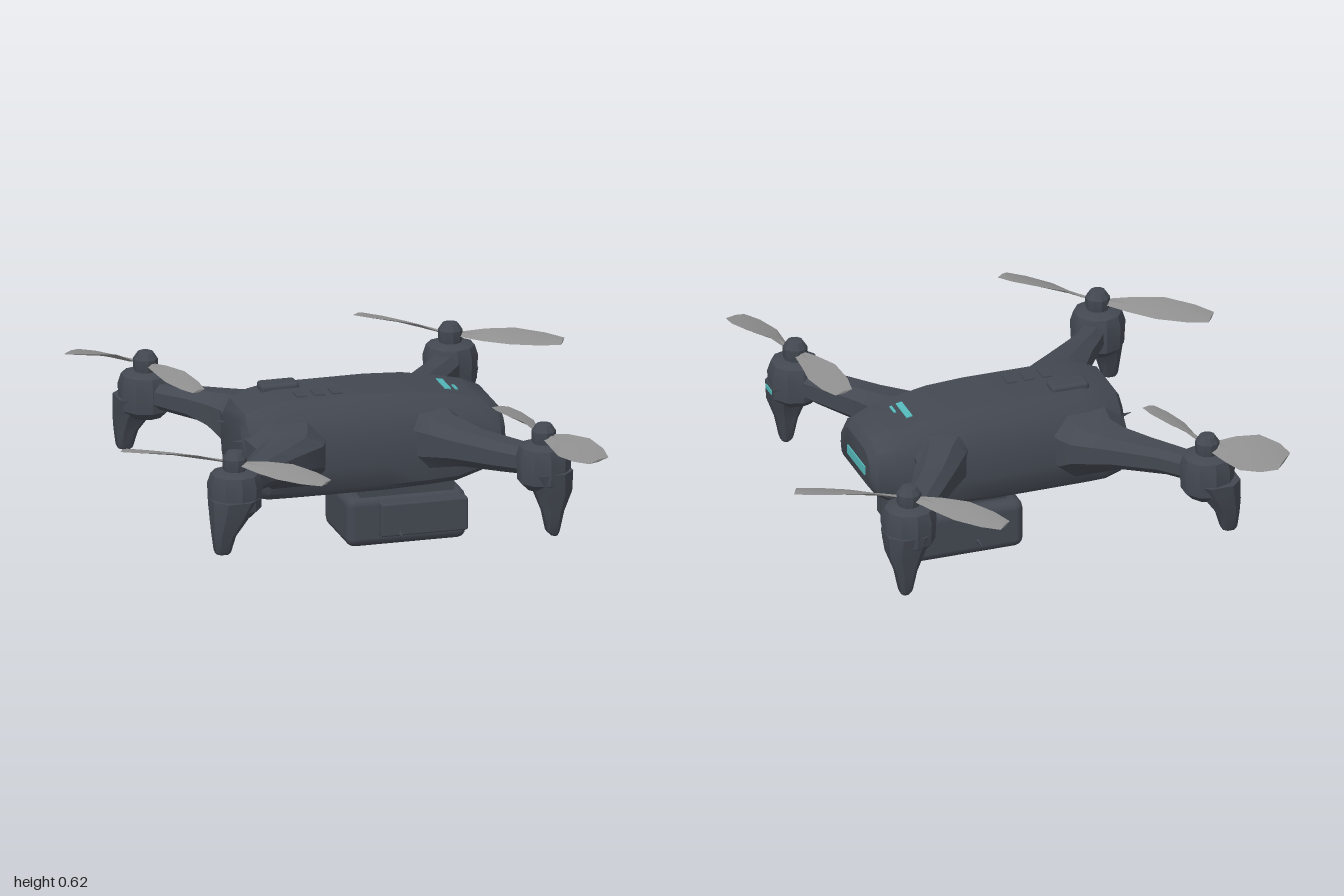
import * as THREE from 'three';
import { toCreasedNormals } from 'three/addons/utils/BufferGeometryUtils.js';
import { RoundedBoxGeometry } from 'three/addons/geometries/RoundedBoxGeometry.js';

const mat = (name, color, side = THREE.FrontSide) => {
  const m = new THREE.MeshStandardMaterial({ color, side });
  m.name = name;
  return m;
};
const V = (x, y, z) => new THREE.Vector3(x, y, z);

// Half outline of the hull section: [width fraction, height fraction], top to bottom
const HULL = [[0.55, 1], [0.82, 0.84], [0.97, 0.6], [1, 0.3], [0.95, 0.07], [0.85, 0]];
// Closed sections as [side, up] pairs
const OCT = [[-0.5, 1], [0.5, 1], [1, 0.5], [1, -0.5], [0.5, -1], [-0.5, -1], [-1, -0.5], [-1, 0.5]];
const QUAD = [[-1, 0], [0, 1], [1, 0], [0, -1]];

// Section around p, turning from up to side = dir x up
function ring(p, dir, up, halfWidth, halfHeight, outline) {
  const side = dir.clone().cross(up);
  return outline.map(([s, u]) => p.clone().addScaledVector(side, s * halfWidth).addScaledVector(up, u * halfHeight));
}

// Skin a list of rings and close both ends
function loft(rings, crease = 0.6) {
  const pos = [];
  const tri = (...pts) => pts.forEach((p) => pos.push(p.x, p.y, p.z));
  const n = rings[0].length;
  for (let i = 0; i < rings.length - 1; i++) {
    for (let j = 0; j < n; j++) {
      const k = (j + 1) % n, a = rings[i], b = rings[i + 1];
      tri(a[j], a[k], b[k]);
      tri(a[j], b[k], b[j]);
    }
  }
  const last = rings[rings.length - 1];
  for (let j = 1; j < n - 1; j++) {
    tri(rings[0][0], rings[0][j + 1], rings[0][j]);
    tri(last[0], last[j], last[j + 1]);
  }
  const g = new THREE.BufferGeometry();
  g.setAttribute('position', new THREE.Float32BufferAttribute(pos, 3));
  return toCreasedNormals(g, crease);
}

export function createModel() {
  const model = new THREE.Group();
  model.name = 'quadcopter';
  const dark = mat('charcoal', 0x434851);
  const grey = mat('bladeGrey', 0x8e8e8e, THREE.DoubleSide);
  const teal = mat('tealLight', 0x54b8ba);

  const add = (name, geo, material, x = 0, y = 0, z = 0, parent = model) => {
    const m = new THREE.Mesh(geo, material);
    m.name = name;
    m.position.set(x, y, z);
    parent.add(m);
    return m;
  };
  const box = (w, h, d) => new THREE.BoxGeometry(w, h, d);

  // Hull: [x, bottom, top, half width], nose towards +x
  const hull = [
    [-0.45, 0.33, 0.53, 0.15], [-0.43, 0.25, 0.56, 0.19], [-0.36, 0.24, 0.585, 0.215],
    [-0.28, 0.24, 0.6, 0.22], [0.1, 0.24, 0.6, 0.225], [0.25, 0.245, 0.592, 0.225],
    [0.38, 0.25, 0.571, 0.215], [0.48, 0.28, 0.55, 0.21], [0.55, 0.32, 0.52, 0.195], [0.575, 0.35, 0.49, 0.165],
  ].map(([x, b, t, w]) => {
    const half = HULL.map(([s, u]) => V(x, b + u * (t - b), s * w));
    return [...half, ...half.map((p) => V(p.x, p.y, -p.z)).reverse()];
  });
  add('hull', loft(hull), dark);

  // Top hump and small raised covers
  add('topHump', new RoundedBoxGeometry(0.15, 0.04, 0.08, 2, 0.015), dark, -0.25, 0.6, -0.07);
  for (const x of [-0.2, -0.13, -0.06]) add('topVent', box(0.04, 0.008, 0.07), dark, x, 0.601, 0.05);

  // Lights
  add('topLight', box(0.025, 0.008, 0.12), teal, 0.38, 0.571, 0).rotation.z = -0.18;
  add('topLightShort', box(0.01, 0.008, 0.05), teal, 0.415, 0.565, 0.03).rotation.z = -0.2;
  add('noseLight', box(0.008, 0.036, 0.19), teal, 0.576, 0.403, -0.015);
  add('bellyLight', new THREE.CylinderGeometry(0.022, 0.022, 0.008, 12), teal, -0.22, 0.239, 0);
  add('podLight', box(0.008, 0.018, 0.06), teal, 0.689, 0.4, 0.64);

  // Rear antennas
  for (const z of [-0.12, 0.13]) {
    const a = add('antenna', new THREE.ConeGeometry(0.014, 0.08, 5), dark, -0.45, 0.46, z);
    a.rotation.z = Math.PI / 2 - 0.2;
  }

  // Camera housing slung under the nose
  const camera = new THREE.Group();
  camera.name = 'cameraUnit';
  model.add(camera);
  add('cameraMount', box(0.37, 0.08, 0.26), dark, 0.2, 0.215, 0, camera);
  add('cameraBody', new RoundedBoxGeometry(0.47, 0.195, 0.33, 2, 0.035), dark, 0.195, 0.0995, -0.013, camera);
  add('cameraPanel', new RoundedBoxGeometry(0.34, 0.13, 0.06, 1, 0.008), dark, 0.25, 0.117, 0.17, camera);
  for (const s of [1, -1]) {
    const pin = add('cameraPin', new THREE.ConeGeometry(0.014, 0.09, 5), dark, 0.15, 0.062, s * 0.2 + 0.012, camera);
    pin.rotation.x = s * Math.PI / 2;
  }

  // Arms as [z, x, half width, y, half height]; legs as [y, x, half x, z, half z]
  const arms = {
    front: [[0.12, 0.25, 0.16, 0.42, 0.13], [0.22, 0.31, 0.1, 0.42, 0.1], [0.35, 0.39, 0.085, 0.43, 0.07],
      [0.5, 0.5, 0.08, 0.435, 0.058], [0.6, 0.57, 0.07, 0.44, 0.05]],
    rear: [[0.12, -0.28, 0.17, 0.41, 0.14], [0.24, -0.29, 0.135, 0.41, 0.11], [0.3, -0.32, 0.14, 0.43, 0.08],
      [0.39, -0.41, 0.105, 0.44, 0.06], [0.5, -0.525, 0.07, 0.44, 0.05], [0.6, -0.6, 0.06, 0.44, 0.048]],
  };
  const legs = {
    front: [[0.42, 0.6, 0.09, 0.64, 0.09], [0.34, 0.615, 0.07, 0.655, 0.065], [0.26, 0.615, 0.04, 0.66, 0.045],
      [0.18, 0.615, 0.024, 0.66, 0.034], [0.165, 0.62, 0.014, 0.66, 0.025]],
    rear: [[0.42, -0.63, 0.09, 0.64, 0.09], [0.34, -0.655, 0.065, 0.655, 0.065], [0.28, -0.675, 0.042, 0.66, 0.045],
      [0.22, -0.68, 0.03, 0.66, 0.034], [0.21, -0.68, 0.026, 0.66, 0.028]],
  };
  const lathe = (pts) => toCreasedNormals(
    new THREE.LatheGeometry(pts.map(([r, y]) => new THREE.Vector2(r, y)), 10).toNonIndexed(), 0.5);
  const podGeo = lathe([[0, 0.345], [0.07, 0.345], [0.1, 0.375], [0.105, 0.47], [0.092, 0.51], [0.06, 0.522], [0, 0.522]]);
  const hubGeo = lathe([[0.04, 0.51], [0.047, 0.54], [0.047, 0.57], [0.03, 0.595], [0, 0.6]]);

  // Blade pointing from the hub by (dx, dz), with twist easing out to the tip
  function blade(dx, dz, width) {
    const length = Math.hypot(dx, dz);
    const dir = V(dx / length, 0, dz / length);
    const side = dir.clone().cross(V(0, 1, 0));
    const stations = [[0.08, 0.16, 0.25, 0.552], [0.3, 0.3, 0.5, 0.555], [0.55, 0.5, 0.3, 0.557],
      [0.82, 0.46, 0.2, 0.552], [1, 0.3, 0.12, 0.548]];
    return loft(stations.map(([t, w, twist, y]) => {
      const up = V(0, Math.cos(twist), 0).addScaledVector(side, Math.sin(twist));
      return ring(dir.clone().multiplyScalar(t * length).setY(y), dir, up, w * width, 0.005, QUAD);
    }), 0.3);
  }

  // Four corners: motor centre and its two blades [dx, dz, width]
  const corners = [
    ['rear', -1, -0.61, -0.62, [[-0.23, -0.215, 0.2], [0.1, 0.375, 0.09]]],
    ['front', -1, 0.59, -0.63, [[-0.265, -0.335, 0.11], [0.385, 0.195, 0.11]]],
    ['rear', 1, -0.62, 0.62, [[-0.36, -0.265, 0.12], [0.265, 0.325, 0.11]]],
    ['front', 1, 0.59, 0.63, [[-0.06, -0.375, 0.12], [0.115, 0.345, 0.15]]],
  ];
  for (const [end, s, x, z, blades] of corners) {
    const rotor = new THREE.Group();
    rotor.name = `${end}${s > 0 ? 'Near' : 'Far'}Rotor`;
    model.add(rotor);
    add('arm', loft(arms[end].map(([az, ax, hw, y, hh]) =>
      ring(V(ax, y, s * az), V(0, 0, s), V(0, 1, 0), hw, hh, OCT))), dark, 0, 0, 0, rotor);
    add('leg', loft(legs[end].map(([y, lx, hx, lz, hz]) =>
      ring(V(lx, y, s * lz), V(0, -1, 0), V(0, 0, 1), hx, hz, OCT))), dark, 0, 0, 0, rotor);
    add('motorPod', podGeo, dark, x, 0, z, rotor);
    add('hub', hubGeo, dark, x, 0, z, rotor);
    for (const b of blades) add('blade', blade(...b), grey, x, 0, z, rotor);
  }
  return model;
}
